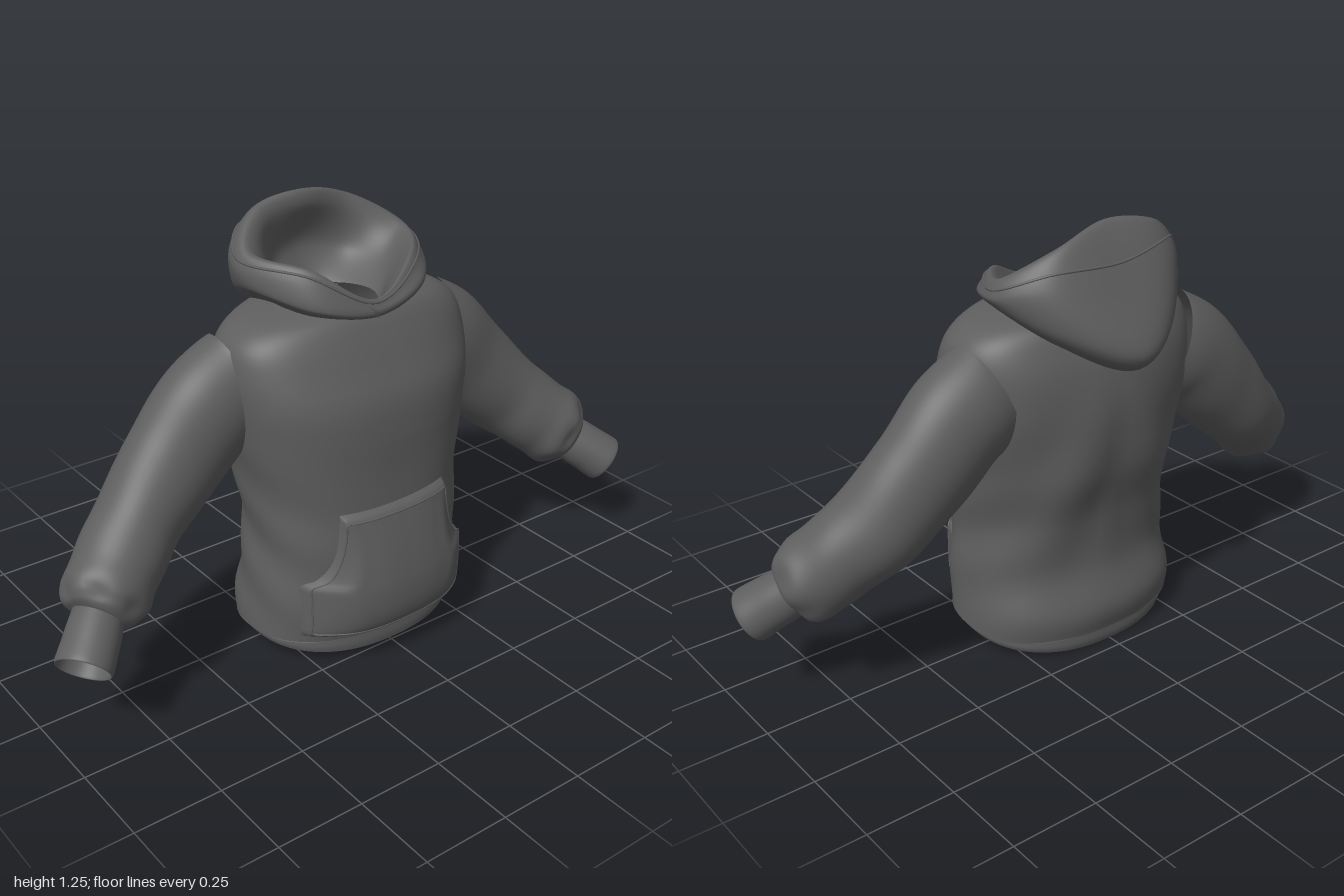
import * as THREE from 'three';

// Catmull-Rom through rows of numbers, t from 0 to 1
function spline(keys, t) {
  const n = keys.length - 1, f = Math.min(Math.max(t, 0), 1) * n;
  const i = Math.min(Math.floor(f), n - 1), u = f - i;
  const k = (j) => keys[Math.min(Math.max(j, 0), n)];
  const [a, b, c, d] = [k(i - 1), k(i), k(i + 1), k(i + 2)];
  return b.map((p, j) => 0.5 * (2 * p + (c[j] - a[j]) * u +
    (2 * a[j] - 5 * p + 4 * c[j] - d[j]) * u * u + (3 * p - a[j] - 3 * c[j] + d[j]) * u * u * u));
}

// Skin over rows of points; closed rows wrap around
function loft(rows, closed = true, flip = false) {
  const m = rows[0].length, idx = [], e = closed ? m : m - 1;
  for (let i = 0; i < rows.length - 1; i++) for (let j = 0; j < e; j++) {
    const a = i * m + j, b = i * m + (j + 1) % m, c = a + m, d = b + m;
    if (flip) idx.push(a, b, c, b, d, c); else idx.push(a, c, b, b, c, d);
  }
  const g = new THREE.BufferGeometry().setFromPoints(rows.flat());
  g.setIndex(idx);
  g.computeVertexNormals();
  return g;
}

const V = (x, y, z) => new THREE.Vector3(x, y, z);
const range = (n, fn) => Array.from({ length: n }, (_, i) => fn(i));
const bump = (x, w) => Math.exp(-(x * x) / (w * w));

// Torso profile: height, half width, front z, back z
const TORSO = [
  [0.06, 0.337, 0.272, -0.215], [0.13, 0.335, 0.285, -0.225], [0.25, 0.325, 0.285, -0.192],
  [0.4, 0.32, 0.28, -0.2], [0.55, 0.34, 0.272, -0.23], [0.68, 0.365, 0.27, -0.238],
  [0.78, 0.38, 0.258, -0.235], [0.87, 0.385, 0.222, -0.22], [0.94, 0.365, 0.19, -0.195],
  [0.985, 0.305, 0.165, -0.175], [1.01, 0.2, 0.14, -0.155],
];

function ringAt([y, w, zf, zb], a, n = 2.4) {
  const p = (v) => Math.sign(v) * Math.abs(v) ** (2 / n);
  return V(w * p(Math.sin(a)), y, (zf + zb) / 2 + (zf - zb) / 2 * p(Math.cos(a)));
}

function torsoGeometry() {
  return loft(range(81, (i) => {
    const key = spline(TORSO, i / 80), y = key[0];
    return range(96, (j) => {
      const a = j / 96 * Math.PI * 2, p = ringAt(key, a);
      const back = Math.max(0, -Math.cos(a)), side = Math.abs(Math.sin(a));
      // soft cloth folds on the back and flanks
      const k = 1 + 0.035 * back * Math.sin(Math.abs(p.x) * 22 + y * 9) * bump(y - 0.5, 0.3)
        + 0.015 * side * Math.sin(y * 30 + p.z * 14) * bump(y - 0.35, 0.25);
      p.x *= k; p.z *= k;
      if (y < 0.25) p.y += (0.25 - y) * 0.07 * p.z / 0.25;
      return p;
    });
  }), true, true);
}

// Ribbed band tucked in under the folded hem
function hemGeometry() {
  const keys = [[0.01, 0.315, 0.262, -0.205], [0.03, 0.32, 0.265, -0.21], [0.058, 0.32, 0.264, -0.21],
    [0.07, 0.33, 0.268, -0.212], [0.06, 0.337, 0.272, -0.215]];
  return loft(range(17, (i) => range(96, (j) => {
    const p = ringAt(spline(keys, i / 16), j / 96 * Math.PI * 2);
    const low = Math.max(0, 1 - i / 10);
    p.y += low * (0.022 * (p.x / 0.32) ** 2 + 0.01 * p.z / 0.25 - 0.002) + (1 - low) * 0.013 * p.z / 0.25;
    return p;
  })), true, true);
}

// Front surface of the torso at x, y
function torsoFront(x, y) {
  let i = 0;
  while (i < TORSO.length - 2 && TORSO[i + 1][0] < y) i++;
  const t = (y - TORSO[i][0]) / (TORSO[i + 1][0] - TORSO[i][0]);
  const [w, zf, zb] = [1, 2, 3].map((k) => THREE.MathUtils.lerp(TORSO[i][k], TORSO[i + 1][k], t));
  const q = Math.max(0, 1 - Math.abs(x / w) ** 2.4) ** (1 / 2.4);
  return (zf + zb) / 2 + (zf - zb) / 2 * q;
}

// Kangaroo pocket outline: straight low sides, hand openings curving in to the top
function pocketPoint(u, v, lift = 0) {
  const y = 0.1 + 0.38 * v;
  const s = THREE.MathUtils.clamp((y - 0.27) / 0.21, 0, 1);
  const x = u * (0.275 - 0.095 * Math.sqrt(1 - (1 - s) ** 2)) - 0.006;
  const edge = Math.min(1 - Math.abs(u), v * 0.8, (1 - v) * 0.8);
  const puff = 0.018 * Math.min(1, edge / 0.03) + 0.042 * (1 - u ** 4) * Math.sin(Math.PI * v ** 0.55)
    + 0.006 * bump(Math.abs(u) - 0.5 - v * 0.4, 0.12) * Math.sin(Math.PI * v);
  return V(x, y + 0.02 * x, torsoFront(x, y) - 0.002 + puff + lift);
}

// Sleeve: centre x, y, z, radius in the arm plane, radius across it
const SLEEVE = [
  [0.31, 0.80, -0.045, 0.165, 0.125], [0.4, 0.755, -0.05, 0.157, 0.128], [0.52, 0.635, -0.045, 0.148, 0.122],
  [0.65, 0.51, -0.02, 0.13, 0.122], [0.75, 0.425, 0.03, 0.122, 0.118], [0.81, 0.37, 0.065, 0.12, 0.115],
  [0.84, 0.345, 0.088, 0.095, 0.092], [0.85, 0.337, 0.095, 0.066, 0.066],
];
const CUFF = [
  [0.845, 0.342, 0.09, 0.068, 0.07], [0.87, 0.318, 0.112, 0.072, 0.074], [0.9, 0.292, 0.138, 0.073, 0.077],
  [0.934, 0.262, 0.166, 0.075, 0.08], [0.932, 0.264, 0.164, 0.068, 0.072], [0.87, 0.318, 0.112, 0.062, 0.062],
];

function armGeometry(keys, s, steps, fixed, fold) {
  return loft(range(steps + 1, (i) => {
    const t = i / steps, [x, y, z, ru, rv] = spline(keys, t);
    const p = spline(keys, t - 0.02), q = spline(keys, t + 0.02);
    const T = (fixed ?? V(q[0] - p[0], q[1] - p[1], q[2] - p[2])).clone().normalize();
    const U = V(0, 0, 1).cross(T).normalize(), W = T.clone().cross(U);
    return range(48, (j) => {
      const a = j / 48 * Math.PI * 2, k = 1 + fold(t, a);
      const c = V(x, y, z).addScaledVector(U, ru * k * Math.cos(a)).addScaledVector(W, rv * k * Math.sin(a));
      c.x *= s;
      return c;
    });
  }), true, s < 0);
}

const sleeveFold = (t, a) => {
  const low = THREE.MathUtils.smoothstep(t, 0.3, 0.75);
  return 0.03 * Math.sin(t * 38 + 2 * Math.sin(a + 0.6)) * (0.25 + low) * (1 - t)
    + 0.055 * bump(t - 0.8, 0.1) * Math.sin(a * 6 + 1) + 0.04 * bump(t - 0.42, 0.07) * Math.sin(2 * a);
};

// Hood rings, each given as front, front side, side, back side, back
const HOOD = [
  [[0, 0.97, 0.15], [0.16, 0.98, 0.09], [0.21, 1.0, -0.03], [0.16, 0.96, -0.15], [0, 0.92, -0.19]],
  [[0, 0.985, 0.168], [0.19, 1.015, 0.12], [0.27, 1.035, -0.05], [0.19, 0.96, -0.2], [0, 0.87, -0.28]],
  [[0, 1.0, 0.172], [0.2, 1.04, 0.122], [0.3, 1.06, -0.07], [0.2, 1.0, -0.25], [0, 0.93, -0.345]],
  [[0, 1.015, 0.165], [0.2, 1.07, 0.1], [0.31, 1.085, -0.09], [0.22, 1.11, -0.22], [0, 1.08, -0.275]],
  [[0, 1.03, 0.155], [0.18, 1.1, 0.085], [0.285, 1.125, -0.08], [0.18, 1.2, -0.18], [0, 1.245, -0.18]],
  [[0, 1.015, 0.14], [0.15, 1.075, 0.08], [0.245, 1.11, -0.07], [0.15, 1.175, -0.15], [0, 1.215, -0.15]],
  [[0, 1.0, 0.14], [0.1, 1.02, 0.08], [0.17, 1.035, -0.03], [0.13, 1.06, -0.15], [0, 1.09, -0.19]],
  [[0, 0.965, 0.135], [0.08, 0.975, 0.075], [0.11, 0.985, 0], [0.075, 0.985, -0.09], [0, 0.98, -0.14]],
];
const HOOD_RINGS = HOOD.map((half, r) => {
  // the right side sits narrower and a little higher
  const lift = r >= 3 && r <= 5 ? 0.025 : 0;
  const other = half.slice(1, 4).reverse().map(([x, y, z]) => V(-0.89 * x, y + lift, z));
  const curve = new THREE.CatmullRomCurve3([...half.map((p) => V(...p)), ...other], true);
  return range(80, (j) => curve.getPoint(j / 80).toArray()).flat();
});
const hoodRow = (t) => {
  const f = spline(HOOD_RINGS, t);
  return range(80, (j) => V(f[3 * j], f[3 * j + 1], f[3 * j + 2]));
};

export function createModel() {
  const model = new THREE.Group();
  model.name = 'hoodie';
  const cloth = new THREE.MeshStandardMaterial({ color: 0x5e5e5e, side: THREE.DoubleSide });
  cloth.name = 'grey cloth';
  const add = (name, geometry) => {
    const mesh = new THREE.Mesh(geometry, cloth);
    mesh.name = name;
    model.add(mesh);
  };
  const seam = (name, pts, closed, r = 0.004) =>
    add(name, new THREE.TubeGeometry(new THREE.CatmullRomCurve3(pts, closed), 160, r, 6, closed));

  add('torso', torsoGeometry());
  add('hemBand', hemGeometry());

  // Pocket with stitched edge
  add('pocket', loft(range(41, (i) => range(61, (j) => pocketPoint(j / 30 - 1, i / 40))), false, true));
  const e = 0.95, lo = 0.06, hi = 0.94, N = 14;
  seam('pocketSeam', [
    ...range(N, (i) => pocketPoint(-e + 2 * e * i / N, lo)),
    ...range(N, (i) => pocketPoint(e, lo + (hi - lo) * i / N)),
    ...range(N, (i) => pocketPoint(e - 2 * e * i / N, hi)),
    ...range(N, (i) => pocketPoint(-e, hi - (hi - lo) * i / N)),
  ], true, 0.003);

  // Sleeves and cuffs, mirrored
  for (const [side, s] of [['left', 1], ['right', -1]]) {
    add(side + 'Sleeve', armGeometry(SLEEVE, s, 90, null, sleeveFold));
    add(side + 'Cuff', armGeometry(CUFF, s, 30, V(0.07, -0.062, 0.055), () => 0));
  }

  // Hood, its rim seam and the front neck seam
  add('hood', loft(range(71, (i) => hoodRow(i / 70)), true, true));
  seam('hoodRimSeam', hoodRow(3.4 / 7), true, 0.004);
  seam('neckSeam', [V(0, 0.985, 0.17), V(-0.012, 1.005, 0.172), V(-0.03, 1.03, 0.155)], false);
  return model;
}
